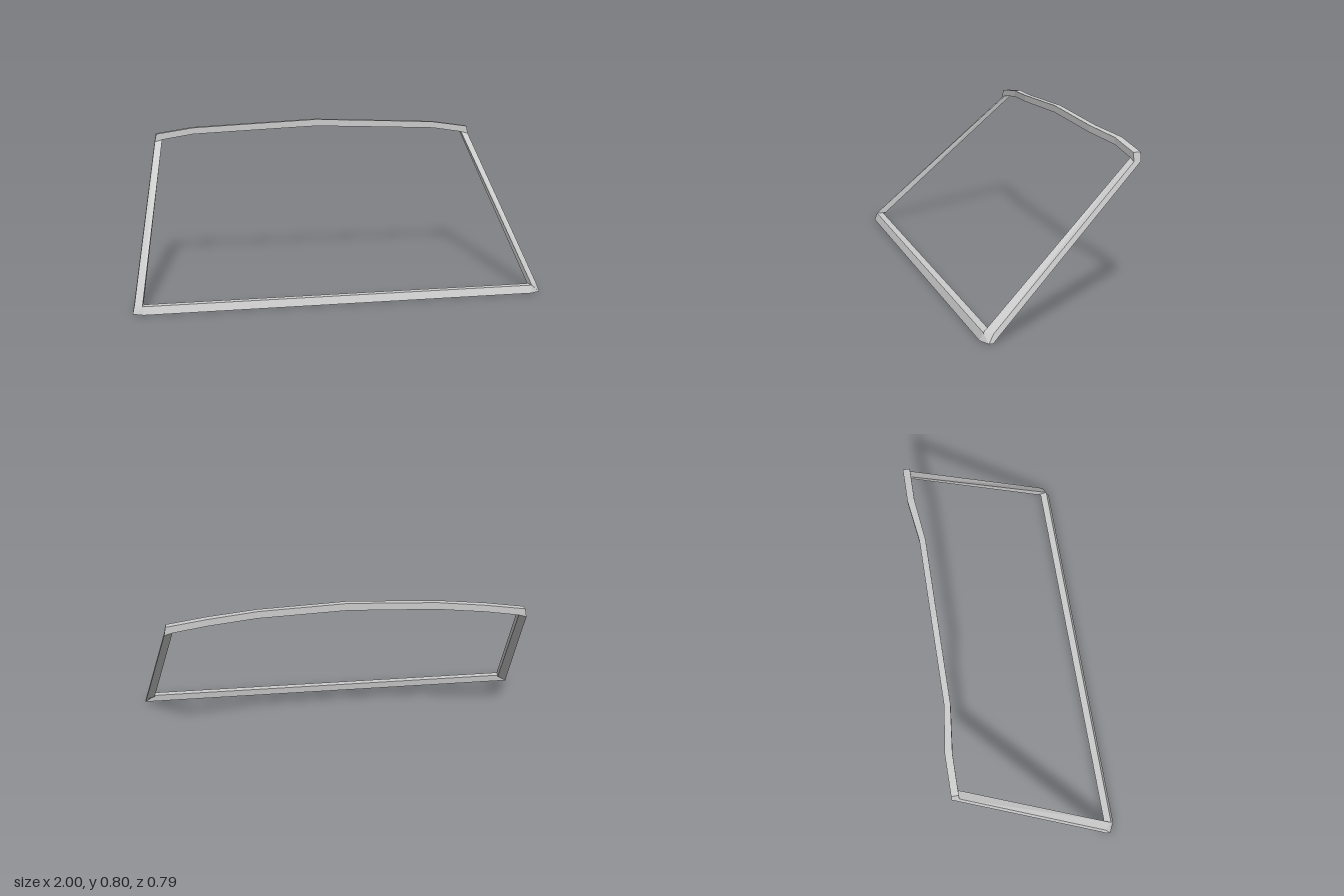
import * as THREE from 'three';

// Each cross-section: outer-front, outer-back, inner-back, inner-front corners.
const section = (x, top, bottom, front, back) => [
  [x, top, front], [x, top, back], [x, bottom, back], [x, bottom, front],
];

const topCentre = section(0, 0.80, 0.765, -0.335, -0.365);
const topBend = section(0.42, 0.782, 0.748, -0.335, -0.365);
const topShoulder = section(0.65, 0.768, 0.735, -0.36, -0.395);
const topCorner = [
  [0.84, 0.74, -0.36], [0.84, 0.74, -0.395], [0.81, 0.71, -0.395], [0.81, 0.71, -0.36],
];
const postTop = [
  [0.848, 0.70, -0.36], [0.848, 0.70, -0.395], [0.81, 0.71, -0.395], [0.81, 0.71, -0.36],
];
const postFoot = [
  [0.99, 0.04, 0.345], [0.992, 0.03, 0.318], [0.948, 0.037, 0.33], [0.955, 0.037, 0.38],
];
const footCorner = [
  [1, 0, 0.37], [1, 0, 0.35], [0.945, 0.037, 0.345], [0.953, 0.037, 0.38],
];
const sillEnd = [
  [0.95, 0, 0.395], [0.95, 0, 0.35], [0.945, 0.037, 0.345], [0.953, 0.037, 0.38],
];

// Mirror a run of sections to the other side, keeping the direction of travel.
const mirror = (run) => run.map((s) => s.map(([x, y, z]) => [-x, y, z])).reverse();

// Skin consecutive four-cornered sections with flat faces.
function frameBar(name, run, material) {
  const positions = [];
  for (let i = 0; i < run.length - 1; i++) {
    for (let j = 0; j < 4; j++) {
      const k = (j + 1) % 4;
      const a = run[i][j], b = run[i + 1][j], c = run[i + 1][k], d = run[i][k];
      positions.push(...a, ...b, ...c, ...a, ...c, ...d);
    }
  }
  const geometry = new THREE.BufferGeometry();
  geometry.setAttribute('position', new THREE.Float32BufferAttribute(positions, 3));
  geometry.computeVertexNormals();
  const mesh = new THREE.Mesh(geometry, material);
  mesh.name = name;
  return mesh;
}

export function createModel() {
  const group = new THREE.Group();
  group.name = 'windowFrame';
  const material = new THREE.MeshStandardMaterial({
    color: 0xcccccc, flatShading: true, side: THREE.DoubleSide,
  });

  // Bowed top rail, sloping side posts with chamfered feet, straight bottom rail
  const halfTop = [topBend, topShoulder, topCorner];
  const post = [topCorner, postTop, postFoot, footCorner, sillEnd];
  group.add(
    frameBar('topRail', [...mirror(halfTop), topCentre, ...halfTop], material),
    frameBar('leftPost', post, material),
    frameBar('bottomRail', [sillEnd, ...mirror([sillEnd])], material),
    frameBar('rightPost', mirror(post), material),
  );
  return group;
}
